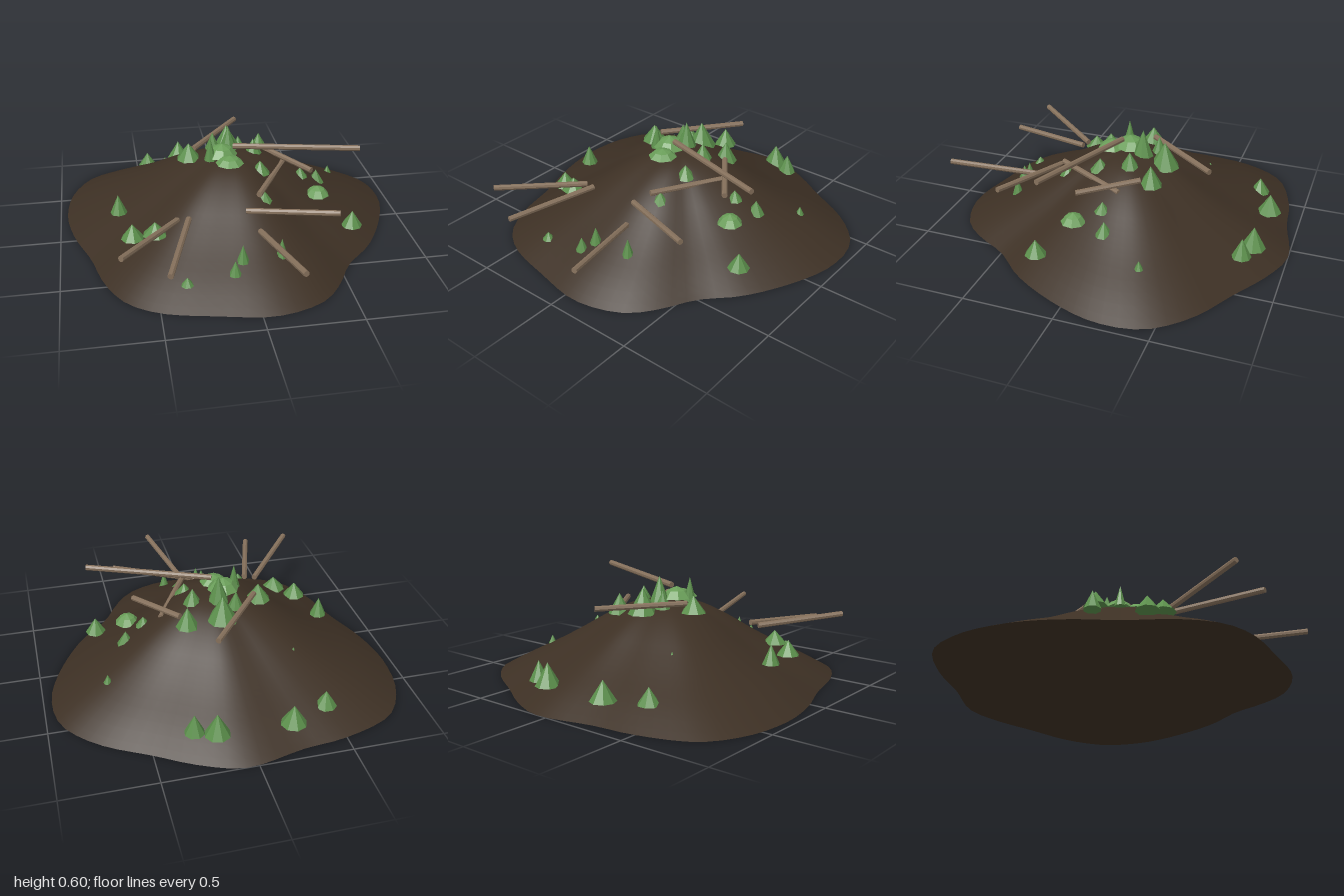
import * as THREE from 'three';

const soil = new THREE.MeshStandardMaterial({ name: 'soil', color: 0x3d3024 });
const wood = new THREE.MeshStandardMaterial({ name: 'wood', color: 0x85705b, flatShading: true });
const leaf = new THREE.MeshStandardMaterial({ name: 'leaf', color: 0x5b8f4b, flatShading: true });
const paleLeaf = new THREE.MeshStandardMaterial({ name: 'paleLeaf', color: 0x699d58, flatShading: true });

// Irregular outline of the mound's foot, as x, z
const OUTLINE = [
  [0.07, -1], [0.3, -0.92], [0.5, -0.8], [0.72, -0.675], [0.84, -0.57], [0.92, -0.46], [0.955, -0.32],
  [0.95, -0.18], [0.93, -0.09], [0.85, 0.11], [0.72, 0.33], [0.56, 0.5], [0.45, 0.69], [0.33, 0.82],
  [0.08, 0.9], [-0.23, 0.85], [-0.5, 0.78], [-0.66, 0.67], [-0.765, 0.48], [-0.835, 0.21], [-0.91, 0],
  [-0.95, -0.18], [-0.96, -0.34], [-0.92, -0.58], [-0.79, -0.79], [-0.5, -0.905], [-0.26, -0.935],
];
// Slope of the mound: share of the way to the foot, height
const SLOPE = [[0, 0.46], [0.1, 0.452], [0.2, 0.425], [0.3, 0.38], [0.4, 0.325], [0.5, 0.265],
  [0.6, 0.208], [0.7, 0.155], [0.85, 0.08], [1, 0]];
const CENTRE_Z = -0.05;

function mound() {
  const group = new THREE.Group();
  group.name = 'mound';
  const n = 72;
  const foot = new THREE.CatmullRomCurve3(OUTLINE.map(([x, z]) => new THREE.Vector3(x, 0, z)), true)
    .getSpacedPoints(n).slice(0, n);
  const slope = new THREE.SplineCurve(SLOPE.map(([t, y]) => new THREE.Vector2(t, y)));
  const rings = 24;
  const position = [0, SLOPE[0][1], CENTRE_Z];
  const index = [];
  for (let i = 1; i <= rings; i++) {
    const p = slope.getPoint(i / rings);
    for (const f of foot) position.push(f.x * p.x, p.y, CENTRE_Z + (f.z - CENTRE_Z) * p.x);
  }
  for (let j = 0; j < n; j++) {
    const k = (j + 1) % n;
    index.push(0, 1 + k, 1 + j);
    for (let i = 0; i < rings - 1; i++) {
      const a = 1 + i * n;
      const b = a + n;
      index.push(a + j, a + k, b + j, a + k, b + k, b + j);
    }
  }
  const geometry = new THREE.BufferGeometry();
  geometry.setAttribute('position', new THREE.Float32BufferAttribute(position, 3));
  geometry.setIndex(index);
  geometry.computeVertexNormals();
  const hill = new THREE.Mesh(geometry, soil);
  hill.name = 'hill';
  // Flat underside
  const base = new THREE.Mesh(new THREE.ShapeGeometry(
    new THREE.Shape(foot.map((f) => new THREE.Vector2(f.x, f.z)))), soil);
  base.rotation.x = Math.PI / 2;
  base.name = 'underside';
  group.add(hill, base);
  return group;
}

// Pointed shrubs: x, z, radius, base height, top height
const SHRUBS = [
  [-0.23, -0.83, 0.07, 0.09, 0.2], [0.17, -0.82, 0.07, 0.09, 0.215], [0.28, -0.78, 0.055, 0.09, 0.2],
  [-0.44, -0.73, 0.06, 0.09, 0.18], [-0.35, -0.44, 0.026, 0.23, 0.28], [0.65, -0.33, 0.025, 0.145, 0.195],
  [0, -0.26, 0.085, 0.4, 0.545], [-0.01, -0.13, 0.06, 0.44, 0.595], [-0.24, -0.12, 0.07, 0.415, 0.51],
  [-0.09, -0.2, 0.045, 0.43, 0.53], [-0.13, -0.01, 0.035, 0.45, 0.585], [0.19, -0.24, 0.065, 0.375, 0.49],
  [0.13, -0.1, 0.055, 0.425, 0.52], [0.14, 0.07, 0.058, 0.385, 0.46], [0.4, -0.04, 0.045, 0.285, 0.345],
  [0.51, -0.09, 0.05, 0.215, 0.295], [0.125, 0.27, 0.05, 0.31, 0.375], [0.64, 0.25, 0.06, 0.1, 0.19],
  [-0.66, 0.01, 0.048, 0.17, 0.28], [-0.6, 0.28, 0.065, 0.155, 0.24], [-0.48, 0.33, 0.07, 0.195, 0.27],
  [-0.35, 0.67, 0.035, 0.08, 0.125], [-0.1, 0.66, 0.035, 0.11, 0.19], [-0.05, 0.6, 0.035, 0.145, 0.245],
  [0.16, 0.58, 0.035, 0.14, 0.25],
];
// Low spreading bushes: x, z, radius, base height, top height
const BUSHES = [[-0.06, -0.04, 0.09, 0.465, 0.53], [-0.03, 0.06, 0.08, 0.455, 0.5], [0.47, 0.1, 0.07, 0.235, 0.29]];

// Fallen logs: start x, y, z, end x, y, z
const LOGS = [
  [0, 0.525, -0.01, 0.67, 0.56, 0.21], [-0.21, 0.465, -0.14, 0.095, 0.46, -0.54],
  [0.22, 0.41, -0.19, 0.43, 0.39, 0.1], [0.09, 0.375, 0.31, 0.31, 0.365, -0.1],
  [0.01, 0.31, 0.36, 0.48, 0.35, 0.54], [0.065, 0.248, 0.48, 0.185, 0.3, 0.995],
  [-0.36, 0.278, 0.34, -0.68, 0.322, 0.75], [-0.3, 0.285, 0.35, -0.45, 0.26, 0.85],
];

function log([ax, ay, az, bx, by, bz], i) {
  const a = new THREE.Vector3(ax, ay, az);
  const b = new THREE.Vector3(bx, by, bz);
  const mesh = new THREE.Mesh(new THREE.CylinderGeometry(0.016, 0.0165, a.distanceTo(b), 8), wood);
  mesh.position.copy(a).lerp(b, 0.5);
  mesh.quaternion.setFromUnitVectors(new THREE.Vector3(0, 1, 0), b.sub(a).normalize());
  mesh.name = `log${i + 1}`;
  return mesh;
}

export function createModel() {
  const model = new THREE.Group();
  model.name = 'woodedMound';
  model.add(mound());

  SHRUBS.forEach(([x, z, r, y0, y1], i) => {
    const shrub = new THREE.Mesh(new THREE.ConeGeometry(r, y1 - y0, 8), leaf);
    shrub.position.set(x, (y0 + y1) / 2, z);
    shrub.rotation.y = i * 1.7;
    shrub.name = `shrub${i + 1}`;
    model.add(shrub);
  });

  BUSHES.forEach(([x, z, r, y0, y1], i) => {
    const h = y1 - y0;
    const profile = [[0, 0], [r, 0], [r * 0.6, h * 0.65], [0, h]].map(([px, py]) => new THREE.Vector2(px, py));
    const bush = new THREE.Mesh(new THREE.LatheGeometry(profile, 8), paleLeaf);
    bush.position.set(x, y0, z);
    bush.rotation.y = i * 1.3;
    bush.name = `bush${i + 1}`;
    model.add(bush);
  });

  LOGS.forEach((ends, i) => model.add(log(ends, i)));
  return model;
}
